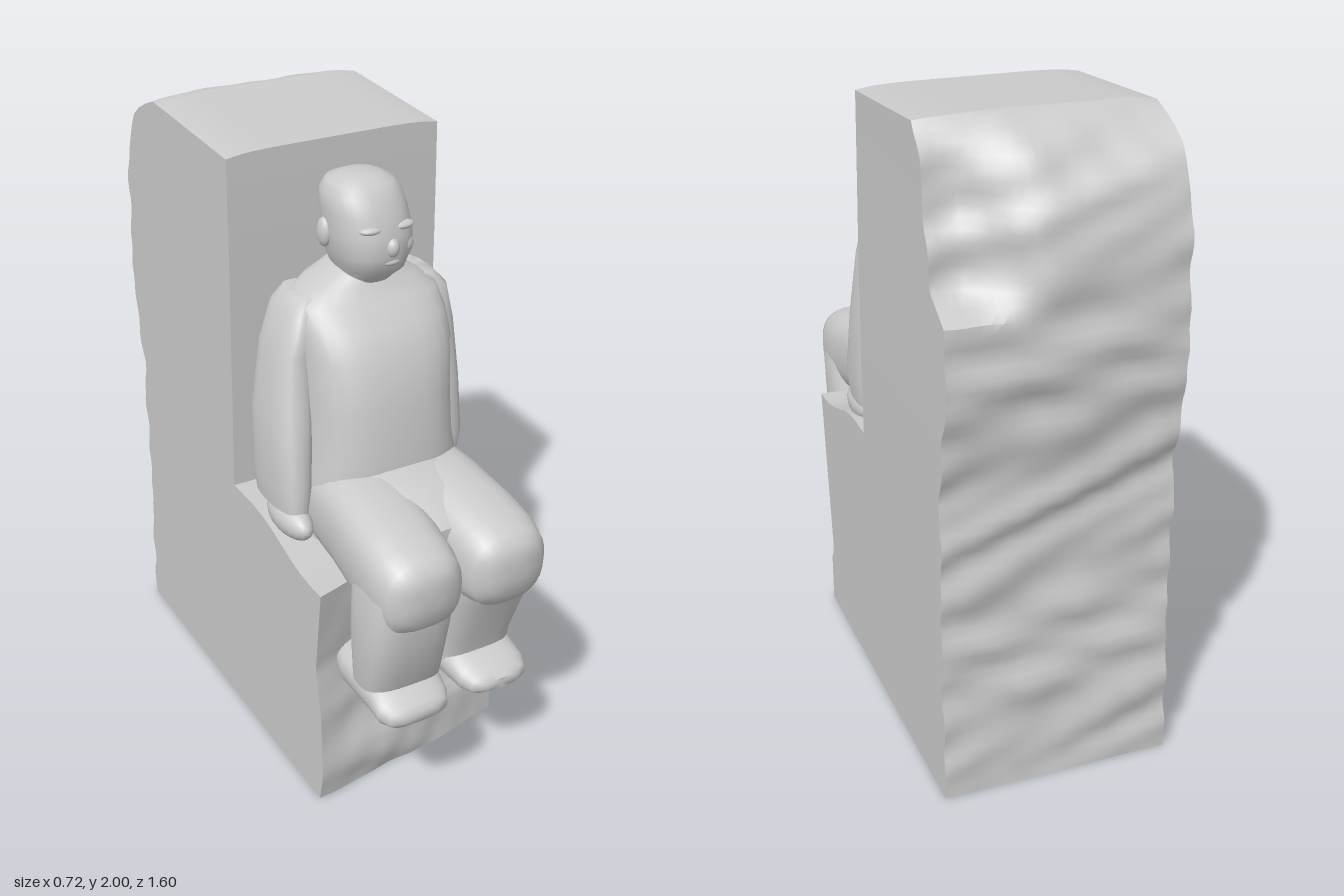
import * as THREE from 'three';
import { mergeVertices, toCreasedNormals } from 'three/addons/utils/BufferGeometryUtils.js';

const stone = new THREE.MeshStandardMaterial({ color: 0xcccccc });
const { lerp, smoothstep } = THREE.MathUtils;

function addMesh(parent, name, geometry) {
  const mesh = new THREE.Mesh(geometry, stone);
  mesh.name = name;
  parent.add(mesh);
  return mesh;
}

// Linear lookup in a list of [position, value]
function table(points, t) {
  for (let i = 1; i < points.length; i++) {
    const [a, va] = points[i - 1], [b, vb] = points[i];
    if (t <= b) return lerp(va, vb, Math.max(0, (t - a) / (b - a)));
  }
  return points[points.length - 1][1];
}

// Gentle weathering
const rough = (x, y) =>
  0.010 * Math.sin(13 * x + 5 * Math.sin(7 * y)) * Math.cos(17 * y + 4 * x) +
  0.006 * Math.sin(31 * y + 9 * x) + 0.004 * Math.cos(41 * x - 23 * y);

// Subdivided box whose vertices are moved by a rule; u, v, w run 0..1 (w from front to back)
function carvedBox(nx, ny, nz, rule) {
  const g = new THREE.BoxGeometry(1, 1, 1, nx, ny, nz);
  const p = g.attributes.position;
  for (let i = 0; i < p.count; i++) {
    p.setXYZ(i, ...rule(p.getX(i) + 0.5, p.getY(i) + 0.5, 0.5 - p.getZ(i)));
  }
  return toCreasedNormals(g, 0.75);
}

// Skin over squarish rings. Row: [along, x, offset, halfWidth, halfDepth].
// Axis 'y' stacks rings upwards (offset is z); axis 'z' stacks forwards (offset is y).
function loft(rows, axis = 'y', power = 2.8, sides = 28) {
  const position = [], index = [];
  const put = (x, o, t) => (axis === 'y' ? position.push(x, t, o) : position.push(x, o, t));
  const pw = (c) => Math.sign(c) * Math.abs(c) ** (2 / power);
  for (const [t, x, o, hw, hd] of rows) {
    for (let i = 0; i < sides; i++) {
      const a = (i / sides) * Math.PI * 2;
      put(x + hw * pw(Math.cos(a)), o + hd * pw(Math.sin(a)), t);
    }
  }
  const tri = (a, b, c) => (axis === 'y' ? index.push(a, c, b) : index.push(a, b, c));
  for (let r = 0; r < rows.length - 1; r++) {
    for (let i = 0; i < sides; i++) {
      const j = (i + 1) % sides, a = r * sides, b = a + sides;
      tri(a + i, a + j, b + j);
      tri(a + i, b + j, b + i);
    }
  }
  const last = (rows.length - 1) * sides, c0 = rows.length * sides;
  for (const r of [rows[0], rows[rows.length - 1]]) put(r[1], r[2], r[0]);
  for (let i = 0; i < sides; i++) {
    const j = (i + 1) % sides;
    tri(c0, j, i);
    tri(c0 + 1, last + i, last + j);
  }
  const g = new THREE.BufferGeometry();
  g.setAttribute('position', new THREE.Float32BufferAttribute(position, 3));
  g.setIndex(index);
  return toCreasedNormals(mergeVertices(g), 0.85);
}

function blob(parent, name, pos, size) {
  const mesh = addMesh(parent, name, new THREE.SphereGeometry(1, 20, 14));
  mesh.position.set(...pos);
  mesh.scale.set(...size);
  return mesh;
}

function buildStone(group) {
  // Tall block: flat sides, rough back, rounded rear top with a broken corner on +x
  const back = [[0, -0.78], [0.3, -0.77], [0.6, -0.75], [1, -0.75], [1.15, -0.77], [1.35, -0.79],
    [1.5, -0.78], [1.7, -0.77], [1.83, -0.73], [1.92, -0.66], [1.97, -0.59], [2, -0.53]];
  const broken = [[0, -0.78], [0.6, -0.75], [1, -0.75], [1.35, -0.79], [1.5, -0.77], [1.57, -0.66],
    [1.7, -0.63], [1.8, -0.59], [1.9, -0.57], [2, -0.52]];
  addMesh(group, 'backBlock', carvedBox(22, 64, 20, (u, v, w) => {
    const x = lerp(-0.36, lerp(0.36, 0.347, smoothstep(v, 0.5, 1)), u);
    const y = 2 * v;
    const chip = smoothstep(x, 0.05, 0.3);
    const rear = lerp(table(back, y), table(broken, y), chip) + rough(x, y) * Math.min(1, y * 8);
    const round = 0.012 * smoothstep(v, 0.97, 1) * Math.abs(2 * u - 1) ** 6;
    const front = lerp(-0.04, -0.01, smoothstep(v, 0.3, 0.95));
    return [x, y - v ** 20 * 0.03 * (1 - w) - round, lerp(front, rear, w)];
  }));
  // Seat block: slanted front, stepping out at the foot
  addMesh(group, 'seatBlock', carvedBox(18, 28, 10, (u, v, w) => {
    const x = lerp(-0.36, 0.36, u);
    const top = lerp(0.79, 0.87, smoothstep(w, 0.1, 0.7));
    const y = v * top;
    const right = table([[0, 0.52], [0.1, 0.54], [0.35, 0.53], [0.5, 0.5], [0.85, 0.54]], y);
    const left = table([[0, 0.41], [0.17, 0.41], [0.21, 0.385], [0.8, 0.47]], y);
    const hollow = 0.05 * smoothstep(y, 0.15, 0.3) * Math.sin(Math.PI * u);
    const wear = 0.6 * rough(x, y) * Math.sin(Math.PI * u);
    return [x, y, lerp(lerp(right, left, u ** 1.3) - hollow + wear, -0.1, w)];
  }));
}

function buildFigure(group) {
  // Robed torso, leaning into the block
  addMesh(group, 'torso', loft([[0.82, 0, 0.2, 0.26, 0.2], [1.02, 0, 0.2, 0.255, 0.215],
    [1.09, 0, 0.2, 0.24, 0.21], [1.25, 0, 0.19, 0.235, 0.205], [1.4, 0.01, 0.17, 0.24, 0.19],
    [1.48, 0.01, 0.15, 0.24, 0.16], [1.54, 0.01, 0.12, 0.235, 0.13], [1.58, 0.01, 0.1, 0.17, 0.115],
    [1.61, 0.01, 0.1, 0.11, 0.1], [1.63, 0.01, 0.1, 0.085, 0.08]]));

  // Head with face
  addMesh(group, 'head', loft([[1.56, 0.01, 0.09, 0.09, 0.1], [1.6, 0.015, 0.11, 0.085, 0.11],
    [1.63, 0.02, 0.13, 0.1, 0.125], [1.68, 0.02, 0.135, 0.12, 0.135], [1.74, 0.02, 0.13, 0.125, 0.137],
    [1.8, 0.015, 0.12, 0.122, 0.127], [1.85, 0.01, 0.11, 0.115, 0.115], [1.88, 0.01, 0.105, 0.095, 0.095],
    [1.895, 0.01, 0.105, 0.06, 0.06], [1.9, 0.01, 0.105, 0.02, 0.02]], 'y', 2.4));
  blob(group, 'nose', [0.03, 1.71, 0.26], [0.022, 0.03, 0.025]);
  blob(group, 'mouth', [0.03, 1.665, 0.25], [0.035, 0.014, 0.02]);
  for (const s of [-1, 1]) {
    blob(group, 'brow', [0.025 + s * 0.05, 1.765, 0.235], [0.04, 0.014, 0.025]);
    blob(group, 'cheek', [0.025 + s * 0.055, 1.7, 0.225], [0.04, 0.035, 0.03]);
    blob(group, 'ear', [0.015 + s * 0.12, 1.73, 0.1], [0.02, 0.045, 0.03]);
  }

  // Arms hang at the sides
  addMesh(group, 'leftArm', loft([[0.92, 0.3, 0.11, 0.045, 0.09], [1.0, 0.305, 0.11, 0.05, 0.1],
    [1.2, 0.29, 0.105, 0.05, 0.1], [1.4, 0.265, 0.1, 0.05, 0.1], [1.52, 0.24, 0.1, 0.045, 0.1],
    [1.56, 0.2, 0.09, 0.05, 0.08]]));
  addMesh(group, 'rightArm', loft([[0.92, -0.3, 0.18, 0.045, 0.13], [1.0, -0.295, 0.17, 0.055, 0.14],
    [1.2, -0.27, 0.13, 0.065, 0.13], [1.4, -0.24, 0.1, 0.055, 0.11], [1.52, -0.21, 0.1, 0.045, 0.1],
    [1.56, -0.17, 0.09, 0.05, 0.08]]));
  blob(group, 'leftHand', [0.305, 0.89, 0.15], [0.045, 0.055, 0.1]);
  blob(group, 'rightHand', [-0.305, 0.89, 0.24], [0.05, 0.055, 0.12]);

  // Lap between the thighs
  addMesh(group, 'lap', loft([[0.1, 0, 0.93, 0.25, 0.14], [0.4, 0, 0.92, 0.24, 0.15],
    [0.52, 0.0, 0.9, 0.2, 0.14], [0.64, 0, 0.87, 0.1, 0.1]], 'z', 2.6));

  // Legs: s is the side, dz the forward shift of the foot, y0 the sole height
  const legs = [['left', 1, 0, 0.36], ['right', -1, 0.09, 0.42]];
  for (const [side, s, dz, y0] of legs) {
    const leg = new THREE.Group();
    leg.name = side + 'Leg';
    group.add(leg);
    const x = s * 0.145;
    addMesh(leg, 'thigh', loft([[0.25, s * 0.12, 0.92, 0.14, 0.14], [0.42, s * 0.125, 0.91, 0.145, 0.15],
      [0.6, s * 0.14, 0.88, 0.145, 0.15], [0.7, x, 0.865, 0.14, 0.14], [0.76, x, 0.86, 0.125, 0.12],
      [0.79, x, 0.87, 0.09, 0.085], [0.8, x, 0.88, 0.04, 0.04]], 'z', 2.7));
    addMesh(leg, 'shin', loft([[y0 + 0.07, s * 0.16, 0.535 + dz, 0.125, 0.085],
      [0.52, s * 0.16, 0.55 + dz, 0.13, 0.09], [0.7, s * 0.155, 0.6 + dz * 0.5, 0.14, 0.115],
      [0.84, s * 0.15, 0.635 + dz * 0.2, 0.14, 0.13], [0.93, x, 0.66, 0.12, 0.11]], 'y', 3));
    addMesh(leg, 'foot', loft([[0.44, s * 0.165, y0 + 0.07, 0.1, 0.05],
      [0.48 + dz * 0.5, s * 0.165, y0 + 0.07, 0.125, 0.07], [0.6 + dz, s * 0.165, y0 + 0.065, 0.125, 0.065],
      [0.67 + dz * 0.9, s * 0.17, y0 + 0.05, 0.12, 0.048], [0.71 + dz * 0.85, s * 0.17, y0 + 0.045, 0.1, 0.035],
      [0.73 + dz * 0.8, s * 0.17, y0 + 0.045, 0.06, 0.018]], 'z', 2.6));
  }
}

export function createModel() {
  const model = new THREE.Group();
  model.name = 'seatedStatue';
  for (const [name, build] of [['stoneSeat', buildStone], ['figure', buildFigure]]) {
    const part = new THREE.Group();
    part.name = name;
    build(part);
    model.add(part);
  }
  return model;
}
